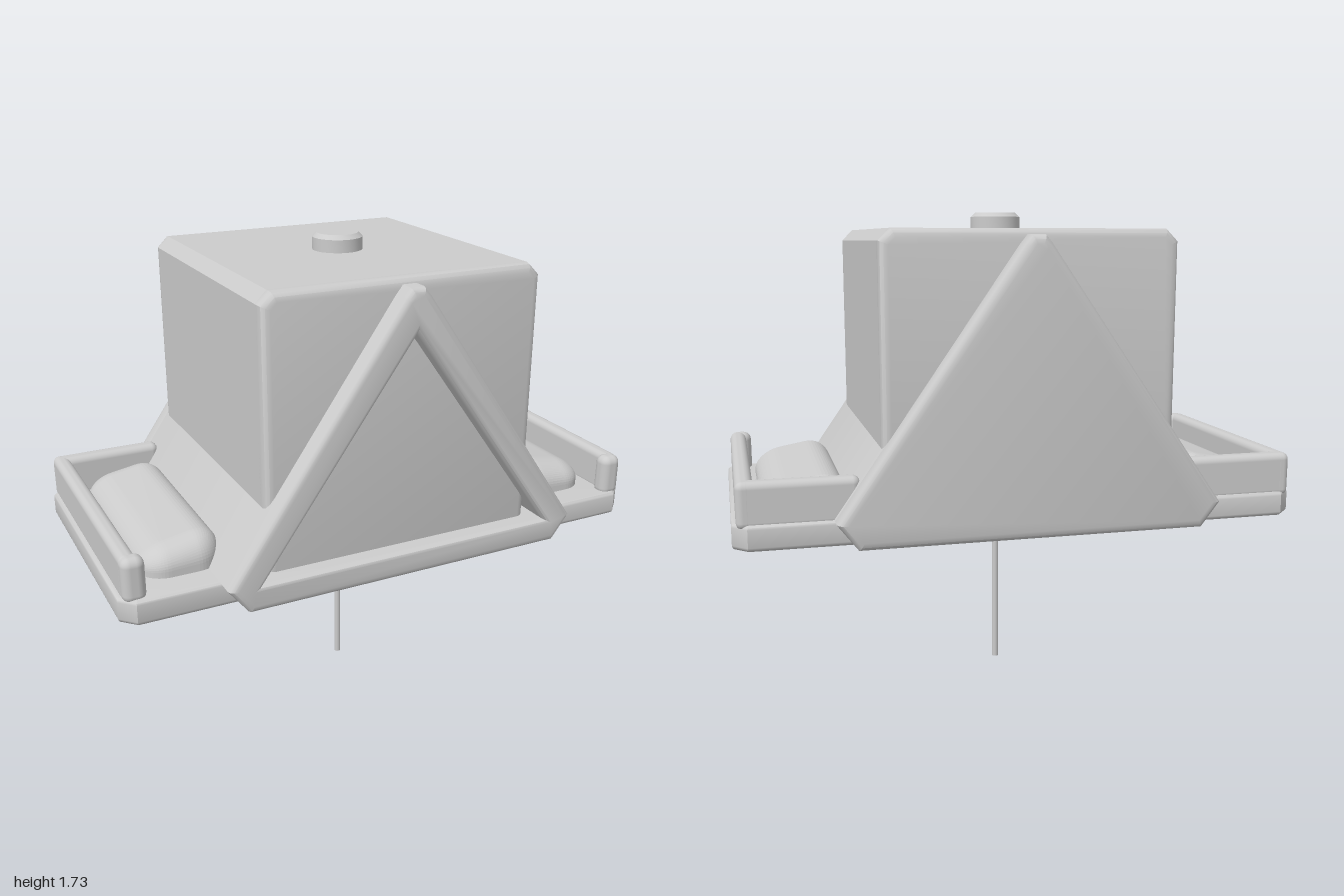
import * as THREE from 'three';
import { RoundedBoxGeometry } from 'three/addons/geometries/RoundedBoxGeometry.js';
import { toCreasedNormals } from 'three/addons/utils/BufferGeometryUtils.js';

const mat = new THREE.MeshStandardMaterial({ color: 0xcccccc });

const poly = (pts) => pts.map(([x, y]) => new THREE.Vector2(x, y));

// Extruded slab between z0 and z1 with bevelled rims and optional hole
function slab(outline, hole, z0, z1, bevel) {
  const shape = new THREE.Shape(poly(outline));
  if (hole) shape.holes.push(new THREE.Path(poly(hole)));
  const geo = new THREE.ExtrudeGeometry(shape, {
    depth: z1 - z0 - 2 * bevel, bevelEnabled: bevel > 0,
    bevelThickness: bevel, bevelSize: bevel, bevelOffset: -bevel, bevelSegments: 3,
  });
  geo.translate(0, 0, z0 + bevel);
  return toCreasedNormals(geo, 0.6);
}

// Smooth, slightly lumpy heap resting on y = 0; lean tilts its crest along x
function heap(w, h, d, lean) {
  const geo = new RoundedBoxGeometry(w, h * 2, d, 8, Math.min(w / 3, h * 0.95));
  const p = geo.attributes.position;
  for (let i = 0; i < p.count; i++) {
    const x = p.getX(i), y = p.getY(i), z = p.getZ(i);
    const wave = 1 + 0.05 * Math.sin(z * 9 + x * 5);
    p.setY(i, Math.max(0, y) * wave * (1 - lean * (x / w + 0.5)));
    p.setX(i, x * (1 + 0.04 * Math.cos(z * 8)));
  }
  geo.computeVertexNormals();
  return geo;
}

export function createModel() {
  const group = new THREE.Group();
  const add = (name, geo, x = 0, y = 0, z = 0) => {
    const m = new THREE.Mesh(geo, mat);
    m.name = name;
    m.position.set(x, y, z);
    group.add(m);
    return m;
  };

  // Tray with clipped corners
  const c = 0.05;
  const tray = slab([[-1, -0.5 + c], [-1 + c, -0.5], [1 - c, -0.5], [1, -0.5 + c],
    [1, 0.5 - c], [1 - c, 0.5], [-1 + c, 0.5], [-1, 0.5 - c]], null, 0.64, 0.73, 0.015);
  tray.rotateX(-Math.PI / 2);
  add('tray', tray);

  // Triangular shelter: open front and roof slopes, closed back
  const gable = [[-0.6, 0.64], [0.6, 0.64], [0.67, 0.73], [0.05, 1.62], [0.025, 1.65],
    [-0.025, 1.65], [-0.05, 1.62], [-0.67, 0.73]];
  add('gableRoof', slab(gable, [[-0.55, 0.735], [0, 1.5], [0.55, 0.735]], -0.54, 0.59, 0.025));
  add('backGable', slab(gable, null, -0.59, -0.48, 0.03));

  // Square hopper with an opening in its front wall
  const box = [[-0.51, 0.7], [0.51, 0.7], [0.51, 1.63], [0.47, 1.67], [-0.47, 1.67], [-0.51, 1.63]];
  const inner = [[-0.46, 0.71], [0.46, 0.71], [0.46, 1.61], [-0.46, 1.61]];
  const door = [[-0.27, 0.71], [0.27, 0.71], [0.25, 1.4], [-0.25, 1.4]];
  add('hopperWalls', slab(box, inner, -0.48, 0.48, 0));
  add('hopperFront', slab(box, door, 0.44, 0.52, 0.03));
  add('hopperBack', slab(box, null, -0.52, -0.44, 0.03));

  // Inner panel standing at the back
  add('innerPanel', slab([[-0.24, 0.72], [0.24, 0.72], [0.2, 1.22], [-0.2, 1.22]], null, -0.46, -0.38, 0.01));

  // Hanging plug with tapered tip, and the knob on top
  const plug = [[0, 0.95], [0.035, 0.96], [0.07, 1.02], [0.09, 1.1], [0.1, 1.2], [0.1, 1.4], [0, 1.4]];
  add('plug', toCreasedNormals(new THREE.LatheGeometry(poly(plug), 24), 0.8));
  const knob = [[0, 1.65], [0.09, 1.65], [0.09, 1.715], [0.075, 1.73], [0, 1.73]];
  add('topKnob', toCreasedNormals(new THREE.LatheGeometry(poly(knob), 24), 0.6));

  // Seed in the middle
  add('middleHeap', heap(0.9, 0.11, 0.9, 0), 0, 0.72, 0);

  // Side rails, end posts and seed heaps, mirrored
  for (const s of [-1, 1]) {
    const side = s > 0 ? 'left' : 'right';
    add(side + 'Rail', new RoundedBoxGeometry(0.06, 0.16, 0.95, 3, 0.025), s * 0.955, 0.79, -0.015);
    add(side + 'BackRail', new RoundedBoxGeometry(0.4, 0.16, 0.065, 3, 0.025), s * 0.78, 0.79, -0.457);
    add(side + 'Post', new RoundedBoxGeometry(0.08, 0.16, 0.07, 3, 0.03), s * 0.945, 0.79, 0.45);
    const pile = add(side + 'Heap', heap(0.3, 0.13, 0.79, 0.35), s * 0.75, 0.73, 0);
    if (s < 0) pile.rotation.y = Math.PI;
  }

  // Ball socket with fins, and pole
  add('ballJoint', new THREE.SphereGeometry(0.095, 24, 16), 0, 0.635, 0);
  for (const s of [-1, 1]) {
    add('socketFin', new THREE.BoxGeometry(0.03, 0.08, 0.04), s * 0.083, 0.605, 0);
  }
  add('pole', new THREE.CylinderGeometry(0.012, 0.012, 0.6, 12), 0, 0.3, 0);

  return group;
}
